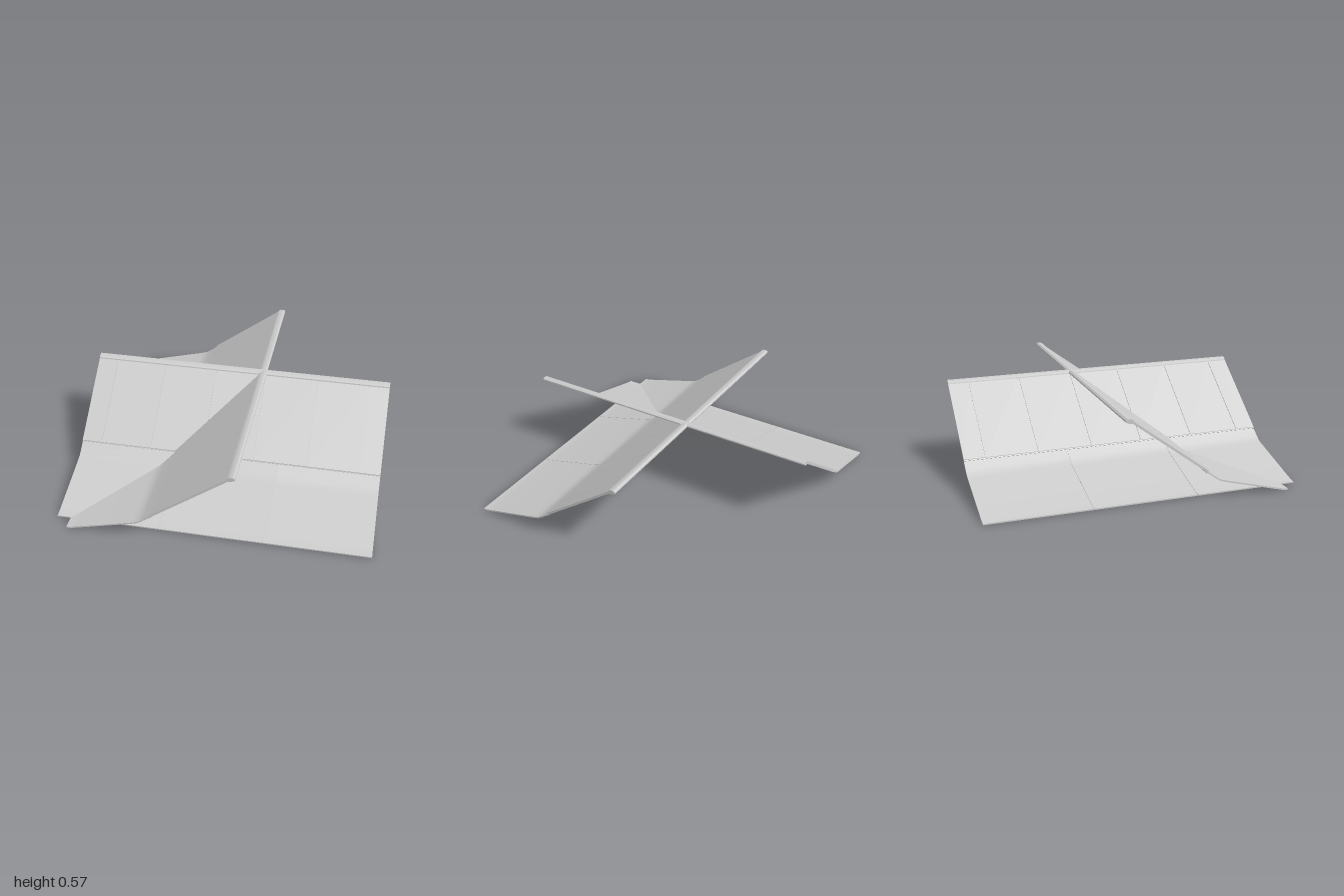
import * as THREE from 'three';
import { toCreasedNormals } from 'three/addons/utils/BufferGeometryUtils.js';

const material = new THREE.MeshStandardMaterial({ color: 0xcccccc });

// Extrude a closed (x, y) outline along z, from z0 to z1
function prism(name, outline, z0, z1) {
  const shape = new THREE.Shape(outline.map(([x, y]) => new THREE.Vector2(x, y)));
  const geometry = new THREE.ExtrudeGeometry(shape, { depth: z1 - z0, bevelEnabled: false });
  geometry.translate(0, 0, z0);
  const mesh = new THREE.Mesh(toCreasedNormals(geometry, 0.6), material);
  mesh.name = name;
  return mesh;
}

// Closed outline of a thin sheet: its top line, and the same line lowered
function sheet(top, from, to) {
  const lower = (d) => top.map(([x, y]) => [x, Math.max(0, y - d)]);
  return [...lower(from), ...lower(to).reverse()];
}

// Panels side by side with narrow seams, on a thin continuous backing
function panels(name, top, thickness, seams) {
  const group = new THREE.Group();
  group.name = name + 's';
  const stops = [-1, ...seams, 1];
  const gap = 0.0015;
  for (let i = 0; i < stops.length - 1; i++) {
    const z0 = stops[i] + (i > 0 ? gap : 0);
    const z1 = stops[i + 1] - (i < stops.length - 2 ? gap : 0);
    group.add(prism(name, sheet(top, 0, thickness), z0, z1));
  }
  group.add(prism(name + 'Backing', sheet(top, thickness * 0.35, thickness * 0.65), -0.999, 0.999));
  return group;
}

// One roof slope running along z and rising towards +x
function roofSlope(name) {
  const slope = new THREE.Group();
  slope.name = name;

  // Flared eave with a soft bend
  const eave = [
    [-0.91, 0.008], [-0.875, 0.013], [-0.84, 0.022], [-0.48, 0.117],
    [-0.44, 0.13], [-0.405, 0.153], [-0.345, 0.197],
  ];
  slope.add(panels('eavePanel', eave, 0.01, [-0.335, 0.335]));

  // Steep upper boards
  const upper = [[-0.357, 0.199], [0.13, 0.561]];
  slope.add(panels('upperPanel', upper, 0.018, [-0.865, -0.525, -0.17, 0.17, 0.525, 0.865]));

  // Lip where the upper boards meet the eave
  slope.add(prism('lapStrip', [[-0.36, 0.19], [-0.349, 0.179], [-0.342, 0.189], [-0.354, 0.201]], -1, 1));

  // Rounded ridge cap
  const cap = [
    [0.118, 0.546], [0.122, 0.561], [0.138, 0.572], [0.162, 0.573],
    [0.173, 0.565], [0.173, 0.556], [0.16, 0.549], [0.14, 0.543],
  ];
  slope.add(prism('ridgeCap', cap, -1, 1));
  return slope;
}

export function createModel() {
  const model = new THREE.Group();
  model.name = 'crossedRoofSlopes';
  const side = roofSlope('sideSlope');
  const front = roofSlope('frontSlope');
  front.rotation.y = Math.PI / 2; // rises towards the back
  model.add(side, front);
  return model;
}
